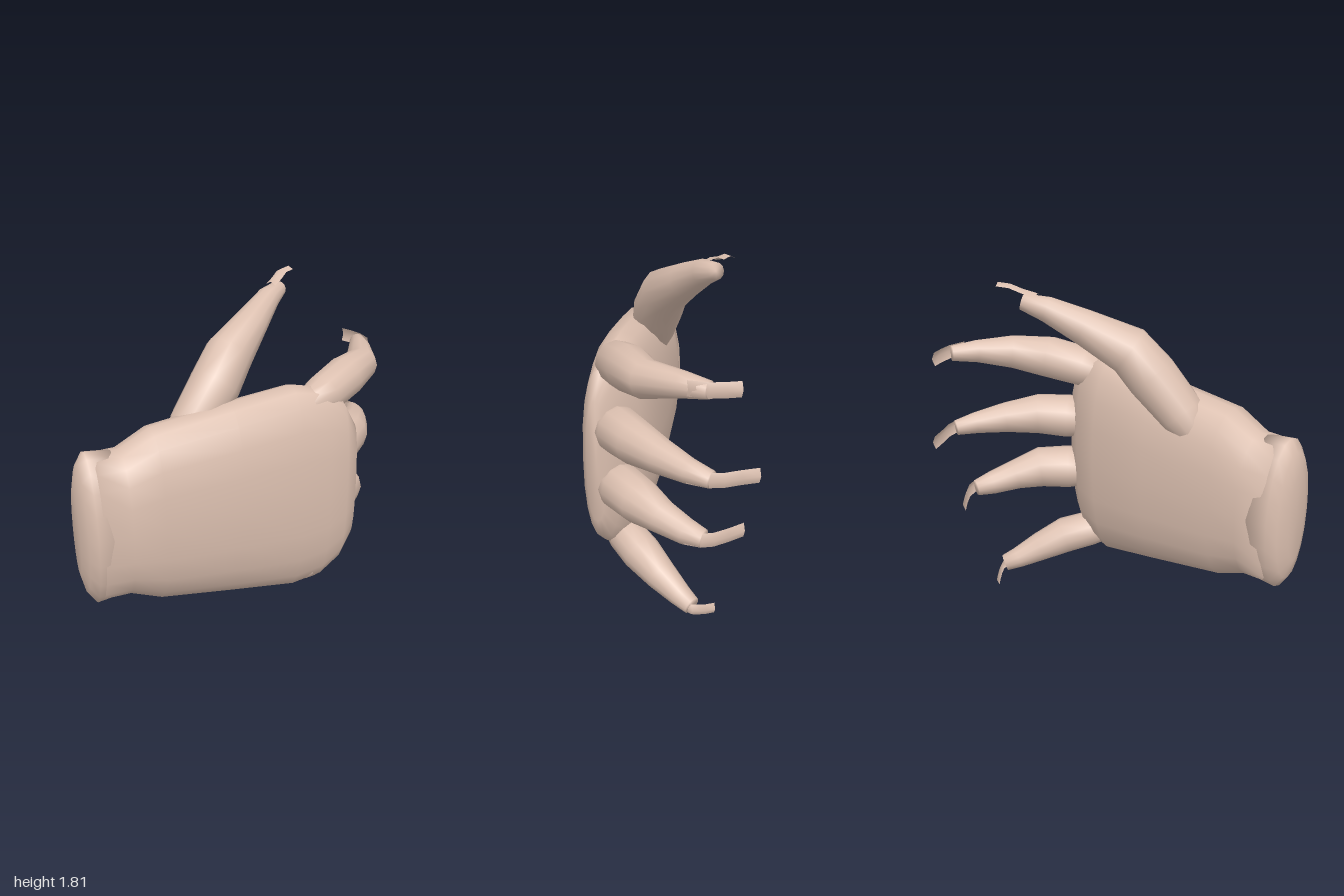
import * as THREE from 'three';

const V = (x, y, z) => new THREE.Vector3(x, y, z);

// Closed smooth skin over a list of rings {c, A, B, a, b}; power > 2 squares the section
function loft(rings, sides, power = 2) {
  const pos = [], index = [];
  const bend = (v) => Math.sign(v) * Math.pow(Math.abs(v), 2 / power);
  for (const r of rings) {
    for (let j = 0; j < sides; j++) {
      const t = (j / sides) * Math.PI * 2;
      const p = r.c.clone()
        .addScaledVector(r.A, r.a * bend(Math.cos(t)))
        .addScaledVector(r.B, r.b * bend(Math.sin(t)));
      pos.push(p.x, p.y, p.z);
    }
  }
  const last = rings.length - 1;
  for (const r of [rings[0], rings[last]]) pos.push(r.c.x, r.c.y, r.c.z);
  const start = rings.length * sides;
  for (let j = 0; j < sides; j++) {
    const k = (j + 1) % sides;
    for (let i = 0; i < last; i++) {
      const p = i * sides, q = p + sides;
      index.push(p + j, p + k, q + k, p + j, q + k, q + j);
    }
    index.push(start, k, j, start + 1, last * sides + j, last * sides + k);
  }
  const g = new THREE.BufferGeometry();
  g.setAttribute('position', new THREE.Float32BufferAttribute(pos, 3));
  g.setIndex(index);
  g.computeVertexNormals();
  return g;
}

// Slanted slab: sections are [along, mid thickness, half thickness, mid height, half height]
function slab(sections, power) {
  const D = V(0.484, 0, -0.875), B = V(0.875, 0, 0.484), A = V(0, 1, 0);
  return loft(sections.map(([s, u, b, y, a]) => ({
    c: V(0, y, 0).addScaledVector(D, s).addScaledVector(B, u), A, B, a, b,
  })), 20, power);
}

// Tapered digit: points are [x, y, z, radius]
function digit(points, up) {
  const pts = points.map(([x, y, z]) => V(x, y, z));
  return loft(points.map((p, i) => {
    const D = pts[Math.min(i + 1, pts.length - 1)].clone().sub(pts[Math.max(i - 1, 0)]).normalize();
    const B = D.clone().cross(up).normalize();
    return { c: pts[i], A: B.clone().cross(D), B, a: p[3], b: p[3] };
  }), 12);
}

// Thin cupped strip along a path: widened across, its middle raised outward
function nail(path, across, outward, width) {
  const g = new THREE.PlaneGeometry(1, 1, 2, path.length - 1);
  const pos = g.attributes.position;
  for (let i = 0; i < pos.count; i++) {
    const side = (i % 3) - 1;
    const p = V(...path[Math.floor(i / 3)])
      .addScaledVector(across, side * width / 2)
      .addScaledVector(outward, side === 0 ? 0.015 : 0);
    pos.setXYZ(i, p.x, p.y, p.z);
  }
  g.computeVertexNormals();
  return g;
}

export function createModel() {
  const skin = new THREE.MeshStandardMaterial({ color: 0xdcc0b0, side: THREE.DoubleSide });
  skin.name = 'skin';
  const hand = new THREE.Group();
  hand.name = 'hand';
  const add = (name, geometry) => {
    const m = new THREE.Mesh(geometry, skin);
    m.name = name;
    hand.add(m);
  };

  // Palm, from wrist to knuckles
  add('palm', slab([
    [-0.92, 0.172, 0.17, 0.775, 0.39],
    [-0.78, 0.167, 0.188, 0.775, 0.39],
    [-0.62, 0.167, 0.205, 0.785, 0.465],
    [-0.2, 0.152, 0.205, 0.775, 0.53],
    [0.15, 0.14, 0.185, 0.763, 0.582],
    [0.32, 0.155, 0.148, 0.76, 0.552],
    [0.43, 0.185, 0.1, 0.77, 0.465],
    [0.5, 0.2, 0.05, 0.77, 0.33],
  ], 2.35));

  // Shallow domed wrist end
  add('wrist', slab([
    [-1.015, 0.172, 0.07, 0.775, 0.24],
    [-0.99, 0.172, 0.135, 0.775, 0.345],
    [-0.95, 0.172, 0.173, 0.775, 0.408],
    [-0.82, 0.167, 0.18, 0.775, 0.392],
  ], 2.05));

  // Four curled fingers, each with a long nail
  const up = V(0, 1, 0), back = V(0, 0, -1);
  const fingers = {
    index: {
      path: [[0.26, 1.22, -0.12, 0.08], [0.275, 1.25, -0.25, 0.11], [0.275, 1.29, -0.45, 0.114],
        [0.26, 1.31, -0.66, 0.092], [0.15, 1.335, -0.83, 0.062], [0.07, 1.34, -0.94, 0.042]],
      nail: [[0.16, 1.345, -0.9], [0.08, 1.345, -0.955], [0.01, 1.345, -0.975], [-0.06, 1.345, -0.985]],
    },
    middle: {
      path: [[0.32, 0.935, -0.22, 0.1], [0.3, 0.937, -0.36, 0.122], [0.27, 0.945, -0.53, 0.112],
        [0.2, 0.935, -0.7, 0.085], [0.12, 0.92, -0.85, 0.06], [0.05, 0.91, -0.94, 0.042]],
      nail: [[0.15, 0.915, -0.88], [0.07, 0.91, -0.945], [0, 0.91, -0.965],
        [-0.08, 0.91, -0.965], [-0.17, 0.91, -0.97]],
    },
    ring: {
      path: [[0.32, 0.62, -0.22, 0.1], [0.29, 0.622, -0.36, 0.122], [0.25, 0.62, -0.52, 0.115],
        [0.18, 0.59, -0.65, 0.085], [0.1, 0.56, -0.77, 0.065], [0.04, 0.55, -0.84, 0.045]],
      nail: [[0.13, 0.555, -0.81], [0.06, 0.55, -0.855], [0, 0.55, -0.865],
        [-0.08, 0.55, -0.85], [-0.17, 0.55, -0.825]],
    },
    little: {
      path: [[0.26, 0.29, -0.1, 0.08], [0.23, 0.262, -0.22, 0.1], [0.19, 0.222, -0.36, 0.103],
        [0.13, 0.157, -0.5, 0.083], [0.07, 0.1, -0.62, 0.06], [0.035, 0.075, -0.69, 0.047]],
      nail: [[0.1, 0.09, -0.65], [0.04, 0.06, -0.7], [0, 0.05, -0.7], [-0.04, 0.04, -0.695], [-0.09, 0.032, -0.685]],
    },
  };
  for (const [name, f] of Object.entries(fingers)) {
    add(name + 'Finger', digit(f.path, up));
    add(name + 'Nail', nail(f.nail, up, back, name === 'little' ? 0.058 : 0.075));
  }

  // Thumb, rooted on the palm side
  const sideways = V(1, 0, 0);
  add('thumb', digit([
    [-0.15, 1.07, 0.45, 0.075], [-0.115, 1.18, 0.36, 0.118], [-0.09, 1.36, 0.195, 0.133],
    [-0.09, 1.486, 0.08, 0.126], [-0.115, 1.6, -0.15, 0.09], [-0.14, 1.685, -0.33, 0.064],
    [-0.15, 1.718, -0.45, 0.042],
  ], sideways));
  add('thumbNail', nail([
    [-0.15, 1.75, -0.37], [-0.16, 1.77, -0.44], [-0.17, 1.795, -0.5], [-0.17, 1.8, -0.565],
  ], sideways, up, 0.062));

  return hand;
}
